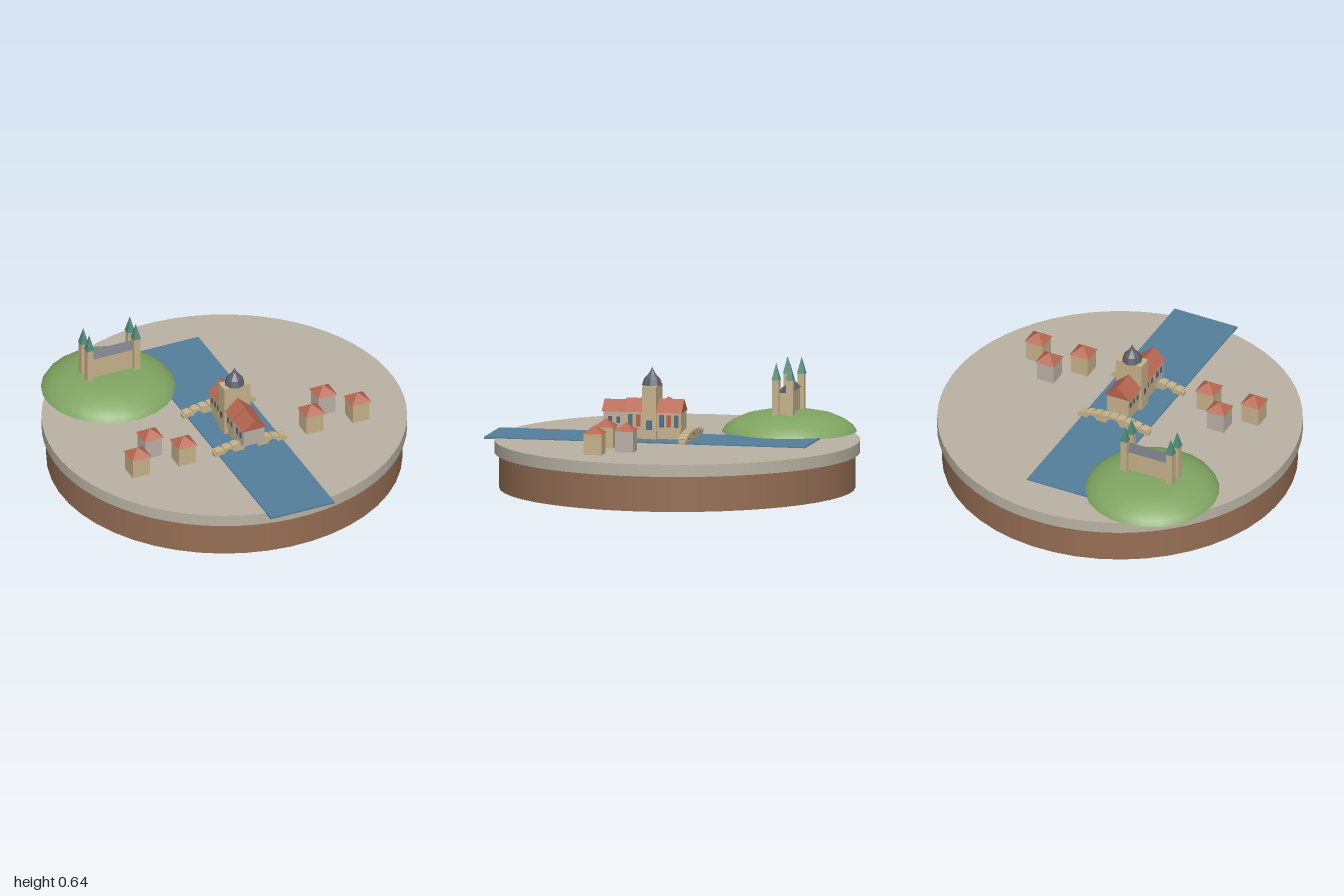
import * as THREE from 'three';

const mat = (name, color) => {
  const m = new THREE.MeshStandardMaterial({ color });
  m.name = name;
  return m;
};

export function createModel() {
  const root = new THREE.Group();
  root.name = 'riverTownDiorama';
  const M = {
    earth: mat('earth brown', 0x966e54),
    stone: mat('paving stone', 0xbab3a4),
    water: mat('river blue', 0x557f9b),
    grass: mat('hill green', 0x80a562),
    cream: mat('sandstone', 0xc6b28a),
    plaster: mat('grey plaster', 0xbab1a6),
    roof: mat('roof red', 0xb5654f),
    slate: mat('slate', 0x5c606c),
    copper: mat('copper green', 0x4f8a78),
    glass: mat('window blue', 0x50718a),
  };
  const GROUND = 0.255, TURN = -0.345;

  // Helpers
  const add = (parent, name, geo, material, x = 0, y = 0, z = 0) => {
    const mesh = new THREE.Mesh(geo, material);
    mesh.name = name;
    mesh.position.set(x, y, z);
    parent.add(mesh);
    return mesh;
  };
  const flat = (geo) => {
    const g = geo.toNonIndexed();
    g.computeVertexNormals();
    return g;
  };
  // Box standing on height y
  const block = (parent, name, w, h, d, material, x, y, z) =>
    add(parent, name, new THREE.BoxGeometry(w, h, d), material, x, y + h / 2, z);
  const pyramid = (parent, name, w, h, material, x, y, z) =>
    add(parent, name, flat(new THREE.ConeGeometry(w / Math.SQRT2, h, 4).rotateY(Math.PI / 4)), material, x, y + h / 2, z);
  // Gable prism with its ridge along z
  const gable = (parent, name, w, h, len, material, x, y, z) => {
    const s = new THREE.Shape();
    s.moveTo(-w / 2, 0);
    s.lineTo(w / 2, 0);
    s.lineTo(0, h);
    s.closePath();
    const g = new THREE.ExtrudeGeometry(s, { depth: len, bevelEnabled: false });
    g.translate(0, 0, -len / 2);
    return add(parent, name, g, material, x, y, z);
  };
  const group = (parent, name, x, y, z, turn = 0) => {
    const g = new THREE.Group();
    g.name = name;
    g.position.set(x, y, z);
    g.rotation.y = turn;
    parent.add(g);
    return g;
  };

  // Round base
  add(root, 'earthBase', new THREE.CylinderGeometry(0.94, 0.94, 0.19, 48), M.earth, 0, 0.095, -0.015);
  add(root, 'pavedGround', new THREE.CylinderGeometry(0.965, 0.965, 0.065, 64), M.stone, 0, 0.2225, -0.015);

  // Domed hill
  const profile = [[0.357, 0], [0.34, 0.027], [0.3, 0.057], [0.235, 0.086], [0.16, 0.102], [0, 0.105]]
    .map(([r, y]) => new THREE.Vector2(r, y));
  add(root, 'hill', new THREE.LatheGeometry(profile, 24), M.grass, -0.245, GROUND, -0.64);
  add(root, 'hillUnderside', new THREE.CircleGeometry(0.357, 24).rotateX(Math.PI / 2), M.grass, -0.245, GROUND, -0.64);

  // Hilltop church with four corner towers
  const church = group(root, 'hilltopChurch', -0.24, 0.335, -0.637, TURN);
  block(church, 'nave', 0.26, 0.14, 0.066, M.cream, 0, 0, 0);
  gable(church, 'naveRoof', 0.078, 0.035, 0.25, M.slate, 0, 0.14, 0).rotation.y = Math.PI / 2;
  for (const sx of [-1, 1]) for (const sz of [-1, 1]) {
    block(church, 'cornerTower', 0.036, 0.21, 0.036, M.cream, sx * 0.135, 0, sz * 0.038);
    pyramid(church, 'towerSpire', 0.042, 0.09, M.copper, sx * 0.135, 0.21, sz * 0.038);
  }

  // Town, aligned with the river
  const town = group(root, 'town', -0.049, GROUND, 0.112, TURN);
  block(town, 'river', 0.37, 0.01, 1.738, M.water, 0, -0.004, 0);

  // Small houses on both banks
  const plots = [[0.37, 0.166, M.cream], [0.502, 0.027, M.plaster], [0.637, 0.166, M.cream]];
  for (const side of [-1, 1]) for (const [x, z, wall] of plots) {
    const house = group(town, 'house', side * x, 0, z);
    block(house, 'houseWalls', 0.098, 0.113, 0.098, wall, 0, 0, 0);
    pyramid(house, 'houseRoof', 0.112, 0.042, M.roof, 0, 0.111, 0);
  }

  // Arched bridges with separate deck slabs
  const arch = new THREE.Shape();
  arch.moveTo(-0.21, 0);
  for (const [x, r] of [[-0.125, 0.027], [0, 0.04], [0.125, 0.027]]) {
    arch.lineTo(x - r, 0);
    arch.absarc(x, 0, r, Math.PI, 0, true);
  }
  arch.lineTo(0.21, 0);
  arch.lineTo(0.21, 0.02);
  arch.quadraticCurveTo(0, 0.08, -0.21, 0.02);
  arch.closePath();
  const archGeo = new THREE.ExtrudeGeometry(arch, { depth: 0.036, bevelEnabled: false, curveSegments: 10 });
  archGeo.translate(0, 0, -0.018);
  for (const z of [-0.208, 0.196]) {
    const bridge = group(town, 'bridge', 0, 0, z);
    add(bridge, 'bridgeArches', archGeo, M.cream);
    for (let i = -4; i <= 4; i++) {
      const x = i * 0.046;
      const y = 0.051 - 0.03 * (x / 0.21) ** 2;
      const slab = add(bridge, 'deckSlab', new THREE.BoxGeometry(0.036, 0.014, 0.046), M.cream, x, y, 0);
      slab.rotation.z = Math.atan(-0.06 * x / 0.0441);
    }
  }

  // Town hall in the middle of the river
  const hall = group(town, 'townHall', 0, 0, 0);
  block(hall, 'podium', 0.11, 0.052, 0.33, M.cream, 0, 0, 0);
  block(hall, 'backWing', 0.126, 0.1, 0.14, M.cream, 0, 0.05, -0.1);
  gable(hall, 'backWingRoof', 0.148, 0.066, 0.148, M.roof, 0, 0.148, -0.1);
  block(hall, 'middleWing', 0.126, 0.1, 0.11, M.cream, 0, 0.05, 0.085);
  gable(hall, 'middleWingRoof', 0.148, 0.066, 0.11, M.roof, 0, 0.148, 0.085);
  block(hall, 'frontHouse', 0.122, 0.1, 0.115, M.plaster, 0, 0.05, 0.192);
  gable(hall, 'frontHouseRoof', 0.138, 0.058, 0.125, M.roof, 0, 0.146, 0.196);

  // Bell tower and stepped dome
  block(hall, 'bellTower', 0.15, 0.285, 0.076, M.cream, 0, 0, 0);
  const dome = [[0.055, 0], [0.044, 0.035], [0.024, 0.056], [0.013, 0.07], [0, 0.1]]
    .map(([r, y]) => new THREE.Vector2(r, y));
  add(hall, 'towerDome', flat(new THREE.LatheGeometry(dome, 8)), M.slate, 0, 0.284, 0);

  // Windows and painted panels on the long walls
  const pane = (name, x, y, z, h, w, m) => block(hall, name, 0.006, h, w, m, x, y, z);
  for (const [z, m] of [[-0.065, M.glass], [-0.105, M.roof], [-0.145, M.glass], [0.06, M.roof], [0.105, M.glass]]) {
    pane('tallWindow', 0.063, 0.07, z, 0.065, 0.024, m);
    pane('smallWindow', -0.063, 0.09, z, 0.03, 0.02, M.slate);
  }
  for (const z of [0.17, 0.215]) for (const s of [-1, 1])
    pane('frontHouseWindow', s * 0.061, 0.085, z, 0.035, 0.02, M.slate);
  pane('towerDoor', 0.075, 0.055, 0, 0.05, 0.03, M.glass);
  pane('towerWindow', -0.075, 0.09, 0, 0.035, 0.02, M.slate);

  return root;
}
